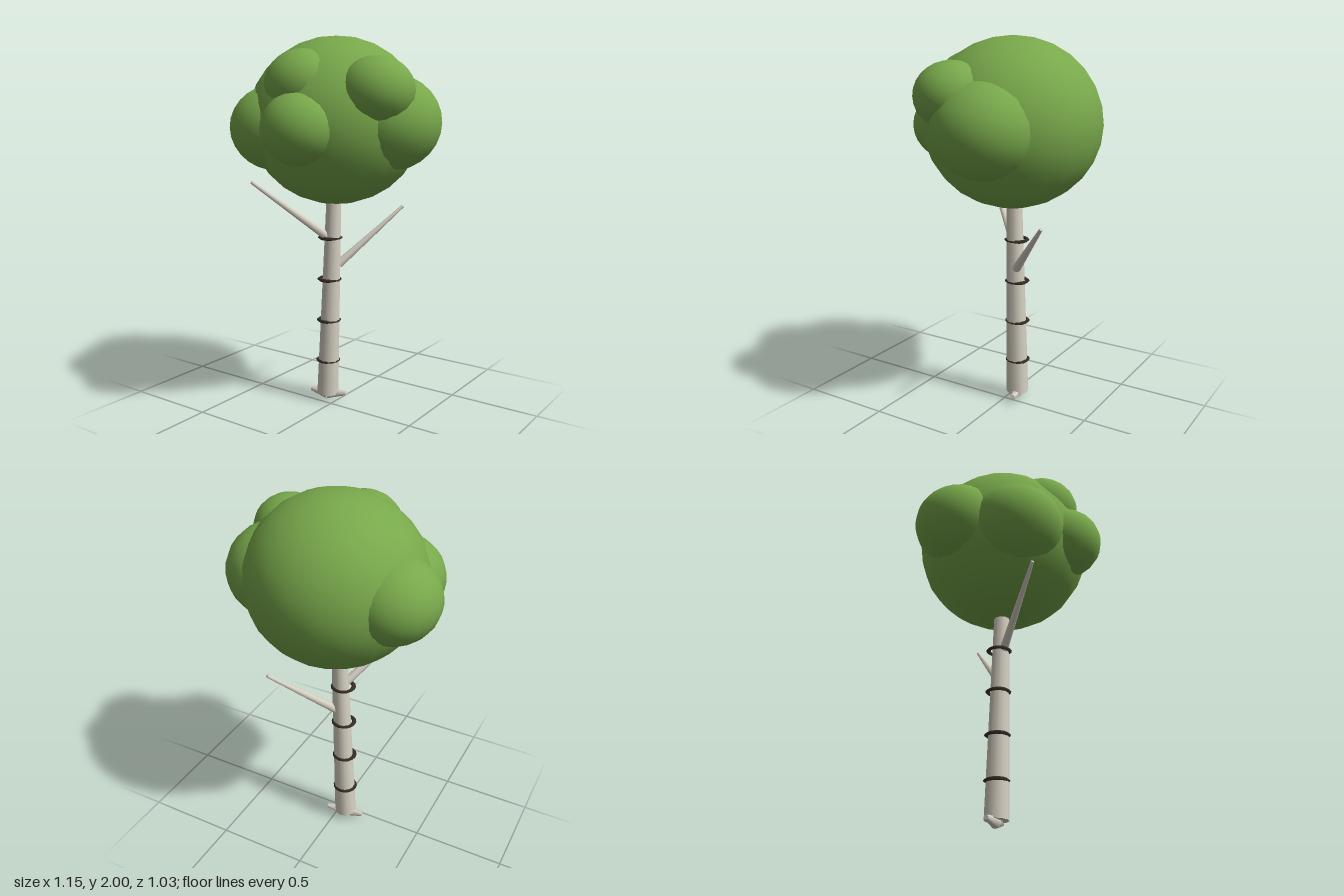
import * as THREE from 'three';

export function createModel() {
  const tree = new THREE.Group();
  tree.name = 'tree';

  const leafGreen = new THREE.MeshStandardMaterial({ name: 'leaf green', color: 0x78a84b });
  const paleBark = new THREE.MeshStandardMaterial({ name: 'pale bark', color: 0xd8d2c4 });
  const darkBark = new THREE.MeshStandardMaterial({ name: 'dark bark', color: 0x3a3028 });

  const add = (name, geometry, material, parent = tree) => {
    const mesh = new THREE.Mesh(geometry, material);
    mesh.name = name;
    parent.add(mesh);
    return mesh;
  };

  // Tapered round limb from one point to another
  const limb = (name, from, to, r0, r1, sides) => {
    const a = new THREE.Vector3(...from);
    const dir = new THREE.Vector3(...to).sub(a);
    const mesh = add(name, new THREE.CylinderGeometry(r1, r0, dir.length(), sides), paleBark);
    mesh.position.copy(a).addScaledVector(dir, 0.5);
    mesh.quaternion.setFromUnitVectors(new THREE.Vector3(0, 1, 0), dir.normalize());
  };

  // Leaning trunk and two bare branches
  limb('trunk', [-0.056, 0.04, -0.05], [-0.008, 1.35, -0.05], 0.062, 0.038, 10);
  limb('frontBranch', [-0.03, 0.93, -0.035], [-0.302, 1.25, 0.29], 0.024, 0.009, 8);
  limb('backBranch', [0.0, 0.785, -0.075], [0.238, 1.093, -0.353], 0.024, 0.009, 8);

  // Roots tapering outward from under the trunk
  limb('leftRoot', [-0.056, 0.031, -0.052], [0.048, 0.046, -0.08], 0.031, 0.013, 6);
  limb('rightRoot', [-0.056, 0.031, -0.052], [-0.163, 0.038, -0.045], 0.031, 0.013, 6);

  // Dark bark rings
  for (let i = 1; i <= 4; i++) {
    const y = i * 0.2333;
    const ring = add('barkRing', new THREE.TorusGeometry(0.056, 0.012, 4, 16), darkBark);
    ring.position.set(-0.059 + 0.02 * y, y, -0.052);
    ring.rotation.x = Math.PI / 2;
    ring.scale.z = 0.8;
  }

  // Canopy: one large flattened ball with smaller clumps around it
  const canopy = new THREE.Group();
  canopy.name = 'canopy';
  tree.add(canopy);
  [
    ['crown', 0, 1.5625, -0.05, 0.465, 0.4375],
    ['leftClump', 0.295, 1.56, -0.08, 0.28, 0.25],
    ['upperLeftClump', 0.336, 1.716, 0.09, 0.19, 0.17],
    ['lowerFrontClump', 0.04, 1.535, 0.313, 0.2, 0.185],
    ['frontRightClump', -0.228, 1.53, 0.16, 0.25, 0.225],
    ['backRightClump', -0.336, 1.572, -0.13, 0.24, 0.216],
    ['upperFrontClump', -0.02, 1.745, 0.205, 0.2, 0.18],
  ].forEach(([name, x, y, z, r, ry]) => {
    const ball = add(name, new THREE.SphereGeometry(r, 20, 14), leafGreen, canopy);
    ball.position.set(x, y, z);
    ball.scale.y = ry / r;
  });

  return tree;
}
